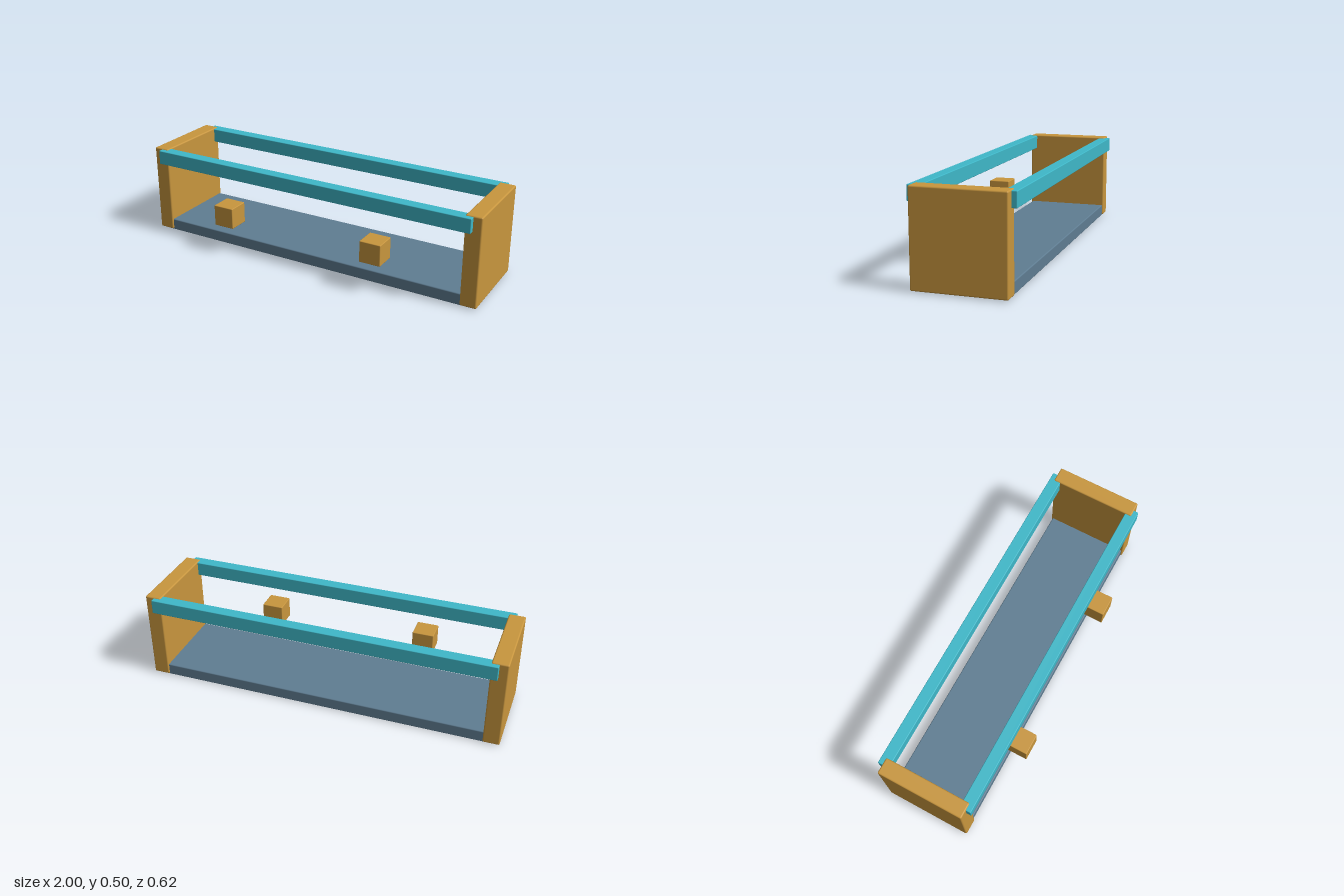
import * as THREE from 'three';
import { RoundedBoxGeometry } from 'three/addons/geometries/RoundedBoxGeometry.js';

const material = (name, color) => {
  const m = new THREE.MeshStandardMaterial({ color });
  m.name = name;
  return m;
};

export function createModel() {
  const model = new THREE.Group();
  model.name = 'openTray';
  const wood = material('honeyWood', 0xc8963e);
  const teal = material('teal', 0x3fb8c9);
  const slate = material('slateBlue', 0x5f7d92);

  // Softly bevelled box given by its extents on each axis
  const box = (name, mat, [x0, x1], [y0, y1], [z0, z1], bevel = 0.006) => {
    const geometry = new RoundedBoxGeometry(x1 - x0, y1 - y0, z1 - z0, 2, bevel);
    const mesh = new THREE.Mesh(geometry, mat);
    mesh.name = name;
    mesh.position.set((x0 + x1) / 2, (y0 + y1) / 2, (z0 + z1) / 2);
    model.add(mesh);
  };

  // Floor board, its ends let into the side panels
  box('floorBoard', slate, [-0.97, 0.97], [0, 0.066], [-0.274, 0.193]);

  // Long rails along the top edges
  box('frontRail', teal, [-0.952, 0.952], [0.42, 0.5], [0.165, 0.229], 0.004);
  box('backRail', teal, [-0.952, 0.952], [0.42, 0.5], [-0.308, -0.244], 0.004);

  // Mirrored end panels and front blocks
  for (const [side, s] of [['left', 1], ['right', -1]]) {
    const span = (a, b) => (s > 0 ? [a, b] : [-b, -a]);
    box(side + 'EndPanel', wood, span(0.91, 1), [0.005, 0.505], [-0.282, 0.202], 0.008);
    box(side + 'FrontBlock', wood, span(0.394, 0.514), [0.165, 0.284], [0.188, 0.308], 0.004);
  }
  return model;
}
